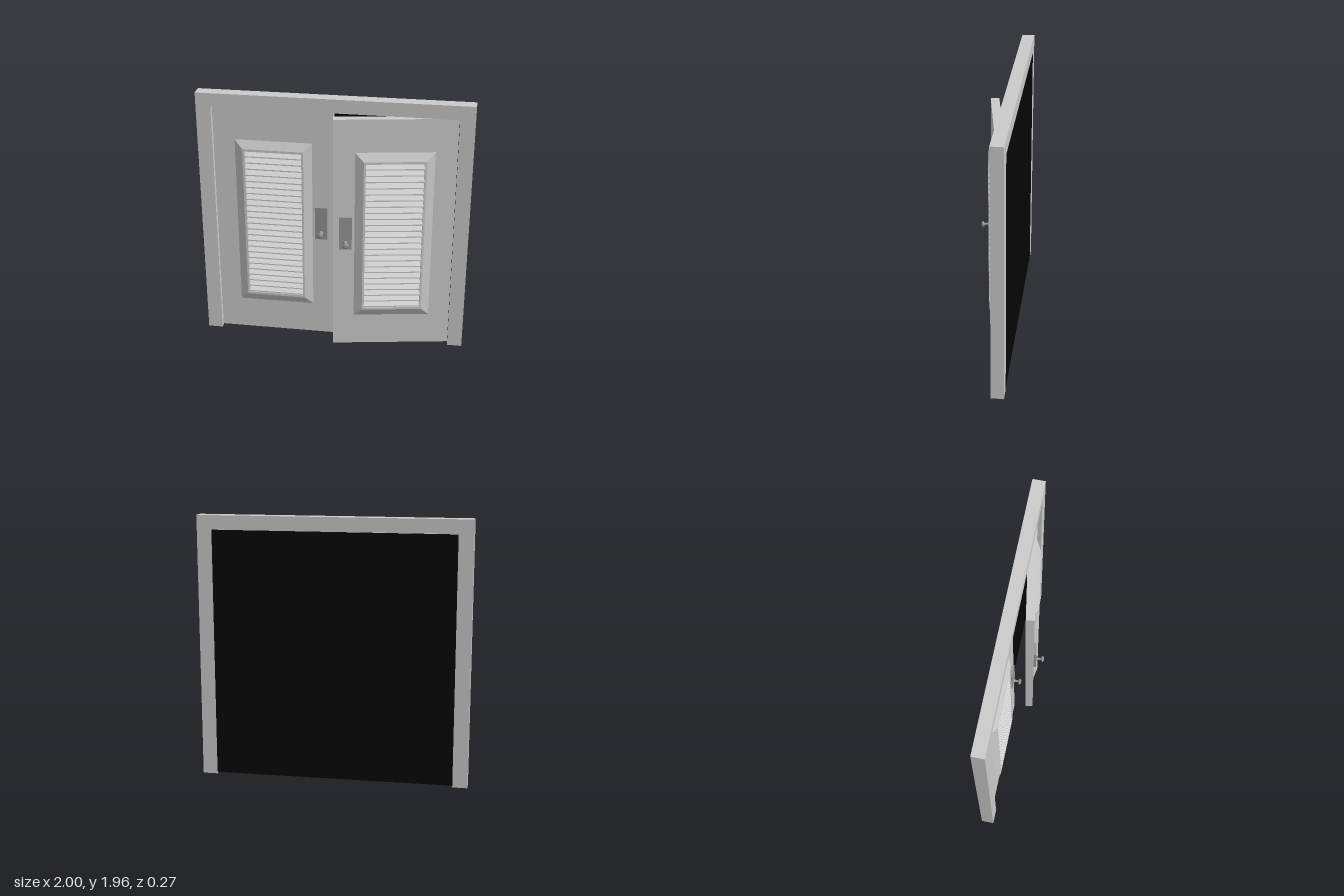
import * as THREE from 'three';

const grey = new THREE.MeshStandardMaterial({ color: 0xcccccc });
const metal = new THREE.MeshStandardMaterial({ color: 0x949494 });
const black = new THREE.MeshStandardMaterial({ color: 0x050505 });

const DOOR_W = 0.885, DOOR_T = 0.06, BOTTOM = 0.013, TOP = 1.855;
const FRONT_Z = -0.073;          // front face of a closed door
const VENT_Y = 0.935;            // centre height of the louvred vent
const VENT_W = 0.21, VENT_H = 0.59; // half sizes of the opening

function add(parent, name, geometry, material, x = 0, y = 0, z = 0) {
  const mesh = new THREE.Mesh(geometry, material);
  mesh.name = name;
  mesh.position.set(x, y, z);
  parent.add(mesh);
  return mesh;
}

function polygon(points) {
  return new THREE.Shape(points.map(([x, y]) => new THREE.Vector2(x, y)));
}

const rect = (x0, y0, x1, y1) => polygon([[x0, y0], [x1, y0], [x1, y1], [x0, y1]]);

const extrude = (shape, depth) =>
  new THREE.ExtrudeGeometry(shape, { depth, bevelEnabled: false });

// Rectangular rings [halfWidth, halfHeight, z] joined from the outside inward
function ringGeometry(rings) {
  const corners = [[-1, -1], [1, -1], [1, 1], [-1, 1]];
  const point = ([w, h, z], i) => [corners[i % 4][0] * w, corners[i % 4][1] * h, z];
  const positions = [];
  for (let r = 0; r < rings.length - 1; r++) {
    for (let i = 0; i < 4; i++) {
      const a = point(rings[r], i), b = point(rings[r], i + 1);
      const c = point(rings[r + 1], i + 1), d = point(rings[r + 1], i);
      positions.push(...a, ...b, ...c, ...a, ...c, ...d);
    }
  }
  const geometry = new THREE.BufferGeometry();
  geometry.setAttribute('position', new THREE.Float32BufferAttribute(positions, 3));
  geometry.computeVertexNormals();
  return geometry;
}

// Tilted slats filling the vent, low edge at the front
function makeLouvre() {
  const louvre = new THREE.Group();
  louvre.name = 'louvre';
  const count = 24, pitch = (2 * VENT_H) / count;
  const profile = polygon([[0.028, 0], [0.028, 0.009], [-0.042, 0.038], [-0.042, 0.029]]);
  const slat = extrude(profile, 2 * VENT_W);
  slat.rotateY(-Math.PI / 2);     // profile x becomes z, extrusion runs along -x
  slat.translate(VENT_W, 0, 0);
  for (let i = 0; i < count; i++) {
    add(louvre, 'slat', slat, grey, 0, -VENT_H + i * pitch + 0.003, 0);
  }
  return louvre;
}

// Back plate with a round knob on a flared stem
function makeHandle() {
  const handle = new THREE.Group();
  handle.name = 'handle';
  add(handle, 'handlePlate', new THREE.BoxGeometry(0.093, 0.26, 0.018), metal, 0, 0, 0.009);
  const profile = [
    [0.018, 0], [0.016, 0.006], [0.009, 0.012], [0.008, 0.034],
    [0.019, 0.04], [0.023, 0.046], [0.02, 0.053], [0.012, 0.057], [0, 0.058],
  ].map(([r, h]) => new THREE.Vector2(r, h));
  const knob = new THREE.LatheGeometry(profile, 24);
  knob.rotateX(Math.PI / 2);
  add(handle, 'knob', knob, metal, 0, -0.077, 0.018);
  return handle;
}

// Door hung on its outer edge; side is -1 or +1, open is the swing angle
function makeDoor(side, open) {
  const door = new THREE.Group();
  door.name = side < 0 ? 'rightDoor' : 'leftDoor';
  const cx = -side * DOOR_W / 2;

  const shape = rect(-DOOR_W / 2, BOTTOM, DOOR_W / 2, TOP);
  shape.holes.push(rect(-VENT_W, VENT_Y - VENT_H, VENT_W, VENT_Y + VENT_H));
  add(door, 'doorLeaf', extrude(shape, DOOR_T), grey, cx, 0, -DOOR_T);

  const moulding = ringGeometry([
    [0.285, 0.67, 0], [0.225, 0.608, 0.03], [VENT_W, VENT_H, 0.03], [VENT_W, VENT_H, 0],
  ]);
  add(door, 'ventMoulding', moulding, grey, cx, VENT_Y, 0);

  const louvre = makeLouvre();
  louvre.position.set(cx, VENT_Y, 0);
  door.add(louvre);

  const handle = makeHandle();
  handle.position.set(-side * (DOOR_W - 0.091), 0.97, 0);
  door.add(handle);

  door.position.set(side * 0.888, 0, FRONT_Z);
  door.rotation.y = side * open;
  return door;
}

export function createModel() {
  const model = new THREE.Group();
  model.name = 'louvredDoubleDoor';

  // Surround: two jambs and a lintel in one piece
  const surround = polygon([
    [-1, 0], [-0.89, 0], [-0.89, 1.857], [0.89, 1.857],
    [0.89, 0], [1, 0], [1, 1.96], [-1, 1.96],
  ]);
  add(model, 'doorFrame', extrude(surround, 0.093), grey, 0, 0, -0.136);

  // Dark panel closing the opening from behind
  add(model, 'backPanel', new THREE.BoxGeometry(1.78, TOP - BOTTOM, 0.002), black,
    0, (TOP + BOTTOM) / 2, -0.135);

  model.add(makeDoor(-1, 0));
  model.add(makeDoor(1, THREE.MathUtils.degToRad(9.6)));
  return model;
}
